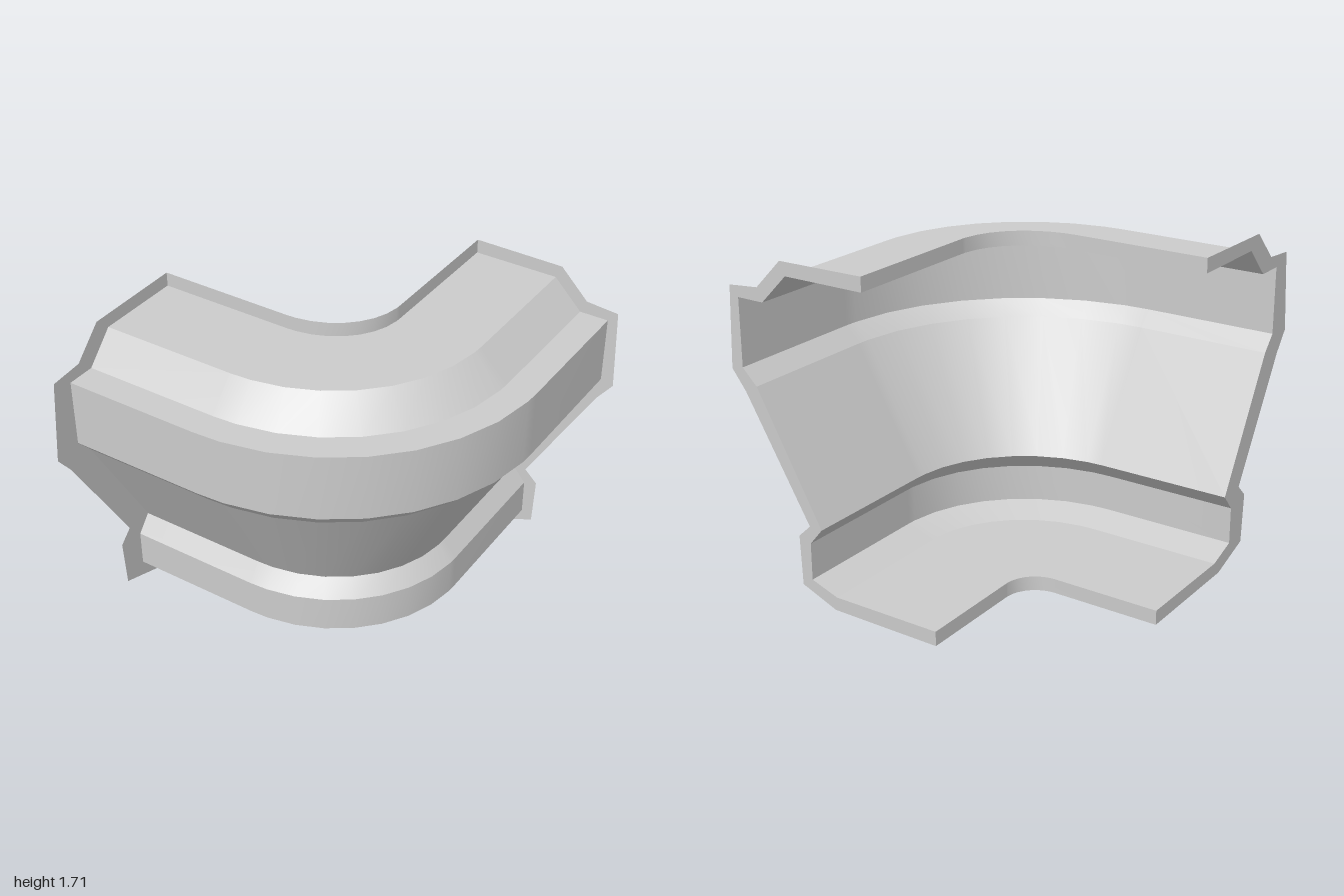
import * as THREE from 'three';

// Wall profile as [x at the back end, z at the side end, y], from bottom flange to top flange
const WALL = [
  [-0.22, -0.257, 0.075], [0.37, 0.33, 0.075], [0.52, 0.485, 0.127], [0.52, 0.485, 0.32],
  [0.447, 0.41, 0.408], [0.81, 0.78, 1.06], [0.892, 0.853, 1.14], [0.892, 0.853, 1.487],
  [0.742, 0.705, 1.487], [0.593, 0.56, 1.637], [0.15, 0.11, 1.637],
];
// Outer outline of the end rims, paired point by point with the wall profile
const RIM = [
  [-0.22, -0.257, 0], [0.38, 0.38, 0.005], [0.58, 0.615, 0.085], [0.59, 0.63, 0.343],
  [0.52, 0.56, 0.41], [0.88, 0.92, 1.02], [0.96, 1.0, 1.123], [0.942, 0.96, 1.54],
  [0.772, 0.785, 1.555], [0.623, 0.635, 1.705], [0.15, 0.11, 1.71],
];
const BACK_Z = -1, SIDE_X = -0.96;

// Corner angles, from the back run round to the side run
const ANGLES = [0];
for (let i = 0; i < 8; i++) ANGLES.push(4 + i * 11.25);
ANGLES.push(90);

const backPoint = ([x, , y]) => [x, y, BACK_Z];
const sidePoint = ([, z, y]) => [SIDE_X, y, z];

// Path of one profile point along the L-shaped run
function sweepPoint(point) {
  const [x, z, y] = point;
  const cx = Math.min(-0.25, x - 0.17);
  const cz = Math.min(-0.25, z - 0.17);
  const corner = ANGLES.map(deg => {
    const a = THREE.MathUtils.degToRad(deg);
    return [cx + (x - cx) * Math.cos(a), y, cz + (z - cz) * Math.sin(a)];
  });
  return [backPoint(point), ...corner, sidePoint(point)];
}

// Strips between neighbouring paths: smooth along the run, sharp between strips
function strips(paths) {
  const pos = [], index = [];
  for (let i = 0; i < paths.length - 1; i++) {
    const base = pos.length / 3, n = paths[i].length;
    for (const p of [...paths[i], ...paths[i + 1]]) pos.push(...p);
    for (let s = 0; s < n - 1; s++) {
      const a = base + s, b = a + n;
      index.push(a, b, a + 1, a + 1, b, b + 1);
    }
  }
  const g = new THREE.BufferGeometry();
  g.setAttribute('position', new THREE.Float32BufferAttribute(pos, 3));
  g.setIndex(index);
  g.computeVertexNormals();
  return g;
}

export function createModel() {
  const group = new THREE.Group();
  const material = new THREE.MeshStandardMaterial({ color: 0xcccccc, side: THREE.DoubleSide });
  const add = (name, paths) => {
    const mesh = new THREE.Mesh(strips(paths), material);
    mesh.name = name;
    group.add(mesh);
  };
  const top = WALL.length - 1;

  // Thin curved wall with its two flanges
  add('wall', WALL.map(sweepPoint));

  // Upright lips along the free edges of the flanges
  add('topFlangeLip', [WALL[top], RIM[top]].map(sweepPoint));
  add('bottomFlangeLip', [RIM[0], WALL[0]].map(sweepPoint));

  // Flat rims standing out around both ends of the run
  add('backEndRim', [RIM.map(backPoint), WALL.map(backPoint)]);
  add('sideEndRim', [WALL.map(sidePoint), RIM.map(sidePoint)]);
  return group;
}
